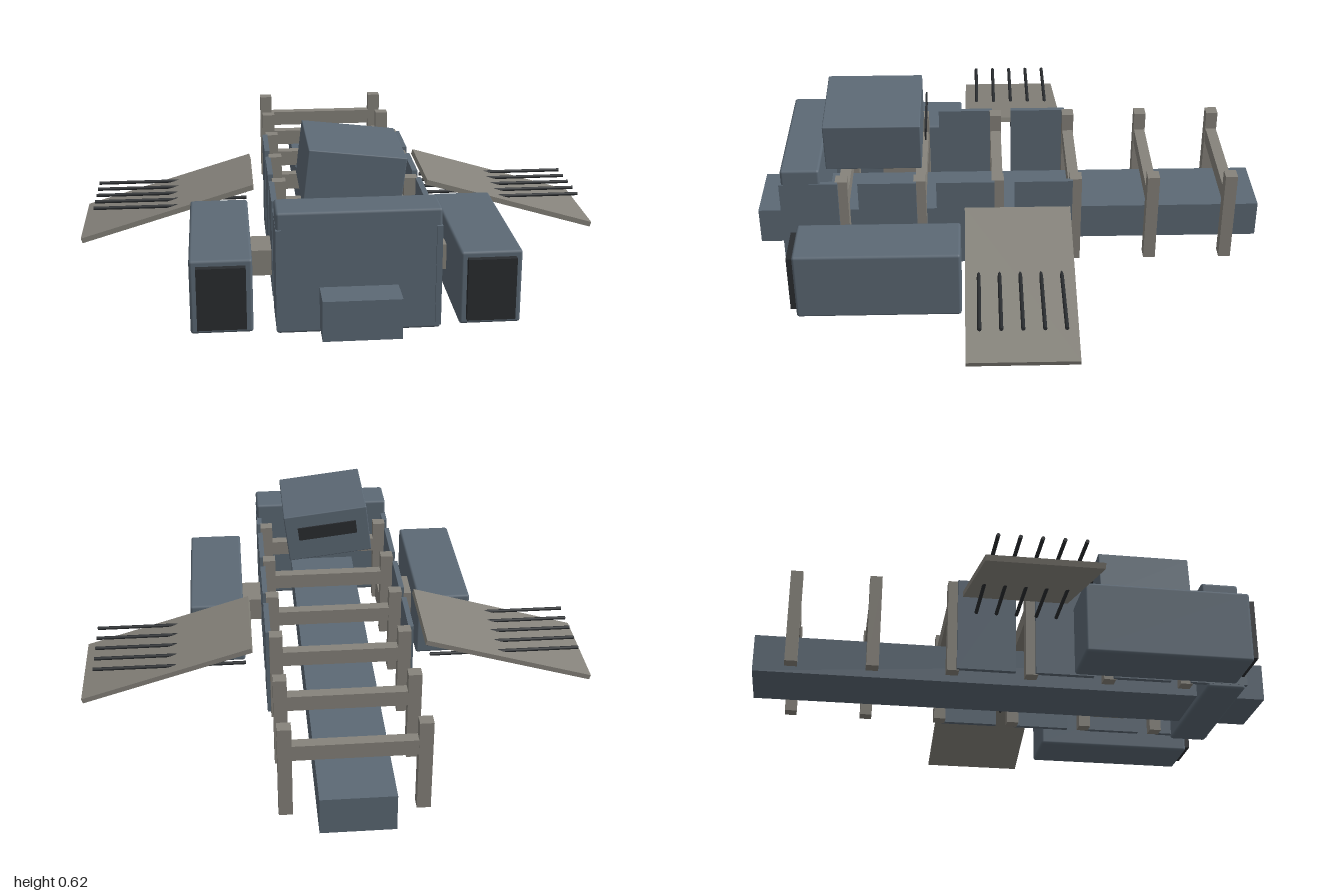
import * as THREE from 'three';
import { RoundedBoxGeometry } from 'three/addons/geometries/RoundedBoxGeometry.js';

const hull = new THREE.MeshStandardMaterial({ color: 0x5c6975 });
const frame = new THREE.MeshStandardMaterial({ color: 0x86837b });
const dark = new THREE.MeshStandardMaterial({ color: 0x2a2d30 });

export function createModel() {
  const model = new THREE.Group();

  // Adds a box given its extents; a bevel above zero softens the edges
  function box(name, mat, [x0, x1], [y0, y1], [z0, z1], bevel = 0, parent = model) {
    const size = [x1 - x0, y1 - y0, z1 - z0];
    const geo = bevel ? new RoundedBoxGeometry(...size, 2, bevel) : new THREE.BoxGeometry(...size);
    const mesh = new THREE.Mesh(geo, mat);
    mesh.name = name;
    mesh.position.set((x0 + x1) / 2, (y0 + y1) / 2, (z0 + z1) / 2);
    parent.add(mesh);
    return mesh;
  }
  // Extents mirrored to either side of the middle
  const mirror = (s, a, b) => (s > 0 ? [a, b] : [-b, -a]);

  // Long central beam and the bow block
  box('keel', hull, [-0.135, 0.135], [0.04, 0.185], [-0.985, 0.985]);
  box('bow', hull, [-0.282, 0.282], [0.018, 0.457], [0.715, 0.862], 0.01);

  // Six ribs: two posts and a crossbar each
  for (let i = 0; i < 6; i++) {
    const z = -0.842 + i * 0.296;
    const rib = new THREE.Group();
    rib.name = 'rib';
    model.add(rib);
    for (const s of [1, -1]) {
      box('ribPost', frame, mirror(s, 0.22, 0.27), [0.03, 0.397], [z - 0.023, z + 0.023], 0, rib);
    }
    box('ribCrossbar', frame, [-0.22, 0.22], [0.265, 0.325], [z - 0.021, z + 0.021], 0, rib);
  }

  // Side plates between the four front ribs
  for (const s of [1, -1]) {
    for (let i = 0; i < 4; i++) {
      const z = -0.127 + i * 0.296;
      box('sidePlate', hull, mirror(s, 0.263, 0.283), [0.033, 0.397], [z - 0.11, z + 0.11]);
    }
  }

  // Tilted cabin with a dark rear window
  const cabin = new THREE.Group();
  cabin.name = 'cabin';
  cabin.position.set(0, 0.505, 0.52);
  cabin.rotation.z = -0.117;
  model.add(cabin);
  box('cabinBody', hull, [-0.171, 0.171], [-0.1, 0.1], [-0.184, 0.184], 0.004, cabin);
  box('cabinWindow', dark, [-0.12, 0.12], [-0.002, 0.053], [-0.204, -0.198], 0, cabin);

  for (const s of [1, -1]) {
    // Side pods with dark front covers and struts to the middle
    box('pod', hull, mirror(s, 0.36, 0.577), [0, 0.271], [0.188, 0.802], 0.01);
    box('podCover', dark, mirror(s, 0.383, 0.554), [0.022, 0.25], [0.795, 0.825]);
    box('podStrut', frame, mirror(s, 0.222, 0.37), [0.09, 0.187], [0.368, 0.515]);

    // Drooping wing panel
    const wing = box('wing', frame, mirror(s, 0.322, 1.012), [0.203, 0.223], [-0.225, 0.172]);
    wing.rotation.z = -s * 0.29;

    // Level rods passing through the wing
    for (let i = 0; i < 5; i++) {
      const rod = new THREE.Mesh(new THREE.CylinderGeometry(0.007, 0.007, 0.59, 8), dark);
      rod.name = 'wingRod';
      rod.rotation.z = Math.PI / 2;
      rod.position.set(s * 0.655, 0.228, -0.177 + i * 0.075);
      model.add(rod);
    }
  }
  return model;
}
